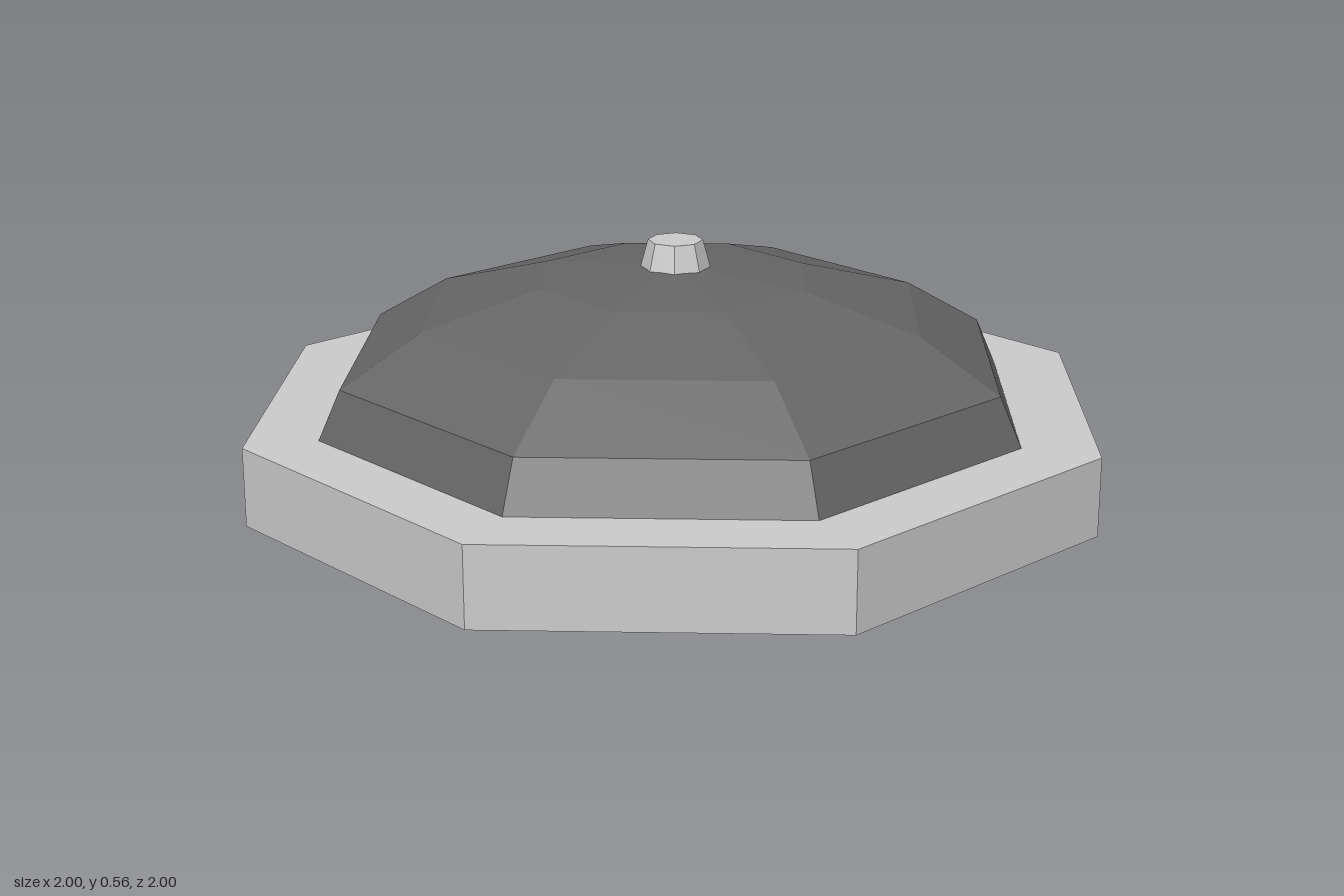
import * as THREE from 'three';

const SIDES = 8;

function material(color) {
  return new THREE.MeshStandardMaterial({ color, flatShading: true, side: THREE.DoubleSide });
}

// Eight-sided turned part from [radius, height] pairs
function turned(name, profile, mat, phiStart = 0) {
  const points = profile.map(([r, y]) => new THREE.Vector2(r, y));
  const mesh = new THREE.Mesh(new THREE.LatheGeometry(points, SIDES, phiStart), mat);
  mesh.name = name;
  return mesh;
}

export function createModel() {
  const group = new THREE.Group();
  group.name = 'domedLid';
  const grey = material(0xcccccc);
  const dark = material(0x666666);

  // Hollow base: thin outer wall closed by a flat top, open underneath
  group.add(turned('base', [[1, 0], [1, 0.18], [0, 0.18]], grey));

  // Dome with a thick rim that dips slightly below the base top
  const dome = turned('dome', [
    [0.74, 0.185], [0.837, 0.155], [0.775, 0.29], [0.59, 0.4], [0.318, 0.473], [0, 0.5],
  ], dark);
  dome.position.z = 0.012;
  group.add(dome);

  // Small tapered knob
  group.add(turned('knob', [[0.081, 0.485], [0.062, 0.555], [0, 0.555]], grey, Math.PI / SIDES));

  return group;
}
